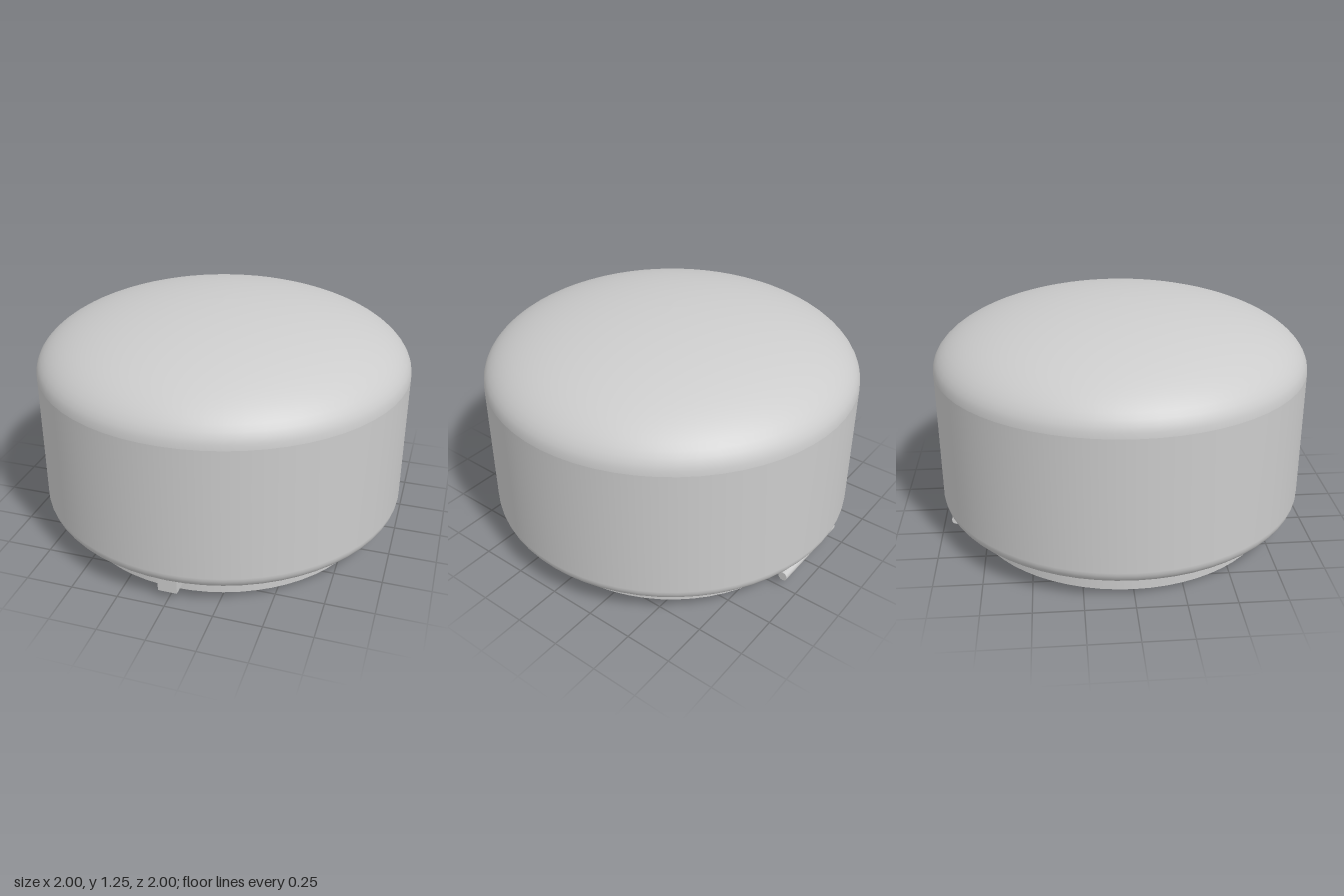
import * as THREE from 'three';

const SIDES = 64;

export function createModel() {
  const group = new THREE.Group();
  const material = new THREE.MeshStandardMaterial({ color: 0xcccccc, side: THREE.DoubleSide });

  const add = (name, geometry, x = 0, y = 0, z = 0) => {
    const mesh = new THREE.Mesh(geometry, material);
    mesh.name = name;
    mesh.position.set(x, y, z);
    group.add(mesh);
    return mesh;
  };
  const lathe = (points) =>
    new THREE.LatheGeometry(points.map(([r, y]) => new THREE.Vector2(r, y)), SIDES);

  // Quarter ellipse from the equator (radius rx) up to the axis
  const domeProfile = (rx, y, height, steps = 20) =>
    Array.from({ length: steps + 1 }, (_, i) => {
      const a = (i / steps) * Math.PI / 2;
      return [i === steps ? 0 : rx * Math.cos(a), y + height * Math.sin(a)];
    });

  // Outer shell: flat underside, rounded lower edge, straight wall
  const shell = [[0.8, 0.11], [0.87, 0.11]];
  for (let i = 0; i <= 8; i++) {
    const a = (i / 8) * Math.PI / 2;
    shell.push([0.89 + 0.11 * Math.sin(a), 0.2 - 0.09 * Math.cos(a)]);
  }
  shell.push([1, 0.905]);
  add('bodyShell', lathe(shell));

  // Domed top
  add('dome', lathe(domeProfile(1, 0.905, 0.345)));

  // Neck ring under the body: outer wall and bottom rim
  add('neckWall', lathe([[0.85, 0], [0.85, 0.12]]));
  add('neckRim', lathe([[0.76, 0.012], [0.775, 0], [0.85, 0]]));

  // Hollow inside, open at the bottom
  add('innerWall', lathe([[0.76, 0.95], [0.76, 0.012]]));
  add('innerCeiling', lathe(domeProfile(0.76, 0.95, 0.24).reverse()));

  // Front latch block
  add('latch', new THREE.BoxGeometry(0.1, 0.1, 0.1), 0, 0.1, 0.9);

  // Hinge pin at the back
  const pin = add('hingePin', new THREE.CylinderGeometry(0.025, 0.025, 0.51, 16), 0, 0.08, -0.92);
  pin.rotation.z = Math.PI / 2;

  // Small downward teeth on the neck, in pairs on each diagonal
  for (const sx of [-1, 1]) {
    for (const sz of [-1, 1]) {
      for (const degrees of [33.75, 56.25]) {
        const a = THREE.MathUtils.degToRad(degrees);
        const tooth = add('tooth', new THREE.ConeGeometry(0.022, 0.08, 8),
          sx * 0.85 * Math.sin(a), 0.08, sz * 0.85 * Math.cos(a));
        tooth.rotation.x = Math.PI;
      }
    }
  }

  return group;
}
